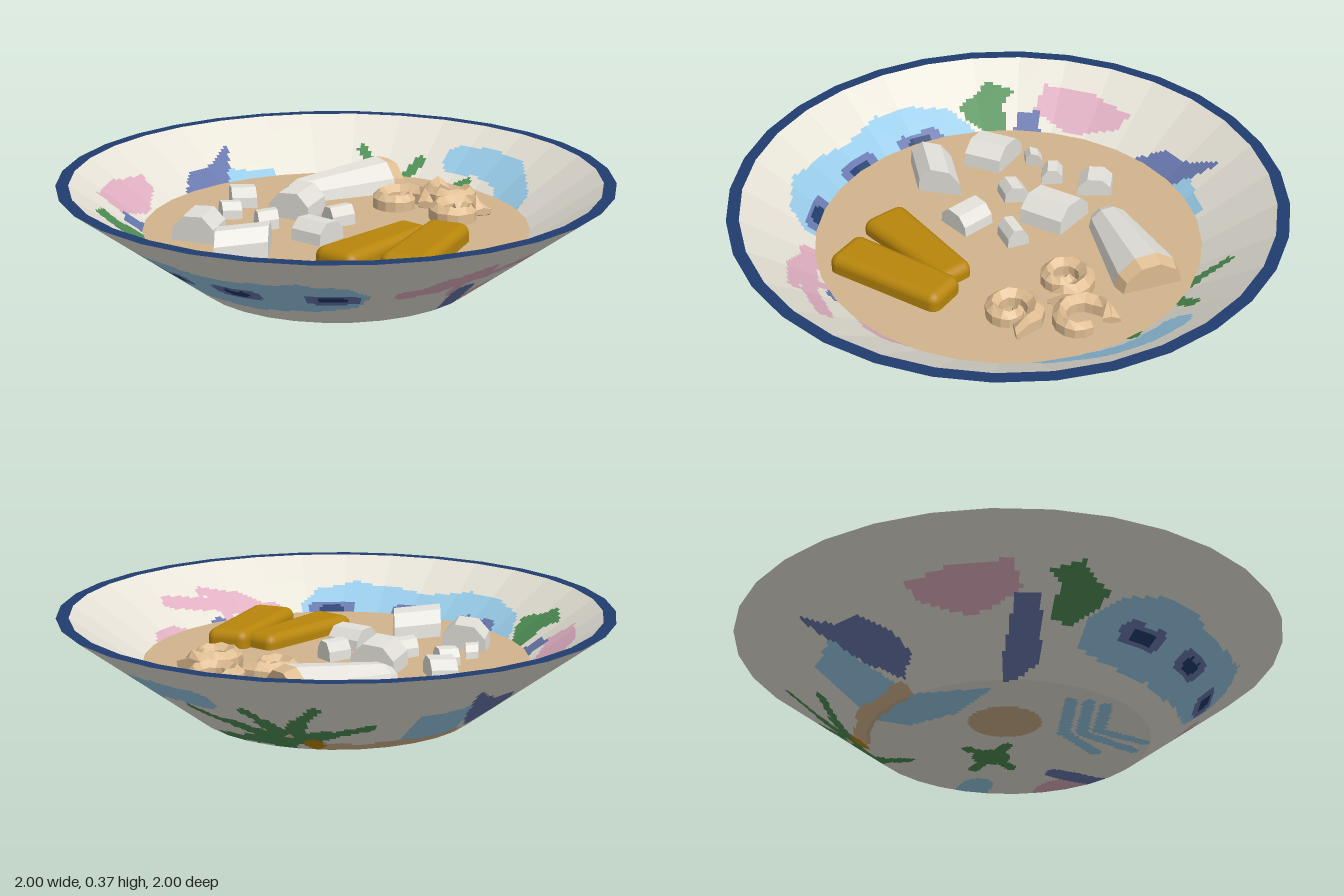
import * as THREE from 'three';
import { RoundedBoxGeometry } from 'three/addons/geometries/RoundedBoxGeometry.js';

const SIDES = 32, RIM_Y = 0.37, SOUP_Y = 0.19;

const mat = (name, color) => {
  const m = new THREE.MeshStandardMaterial({ color });
  m.name = name;
  return m;
};

const flat = (g) => {
  const f = g.index ? g.toNonIndexed() : g;
  f.computeVertexNormals();
  return f;
};

const fromPositions = (pos) => {
  const g = new THREE.BufferGeometry();
  g.setAttribute('position', new THREE.Float32BufferAttribute(pos, 3));
  g.computeVertexNormals();
  return g;
};

// Solid through rings of points (right-handed about the axis), capped at both ends
function loft(rings) {
  const pos = [], n = rings[0].length;
  const tri = (a, b, c) => pos.push(...a, ...b, ...c);
  for (let i = 0; i + 1 < rings.length; i++) {
    for (let j = 0; j < n; j++) {
      const k = (j + 1) % n, p = rings[i], q = rings[i + 1];
      tri(p[j], p[k], q[k]);
      tri(p[j], q[k], q[j]);
    }
  }
  const last = rings[rings.length - 1];
  for (let j = 1; j + 1 < n; j++) {
    tri(rings[0][0], rings[0][j + 1], rings[0][j]);
    tri(last[0], last[j], last[j + 1]);
  }
  return fromPositions(pos);
}

// Painted marks, drawn on the x-z plane and carried onto the bowl faces
const GLAZE = 0, BLUE = 1, SLATE = 2, NAVY = 3, PINK = 4, GREEN = 5, TAN = 6, GOLD = 7;
const marks = [];
const area = (color, ...p) => marks.push({
  color, hit: (x, z) => {
    let inside = false;
    for (let i = 0, j = p.length - 1; i < p.length; j = i++) {
      const [ax, az] = p[i], [bx, bz] = p[j];
      if ((az > z) !== (bz > z) && x < (bx - ax) * (z - az) / (bz - az) + ax) inside = !inside;
    }
    return inside;
  },
});
const stroke = (color, half, ...p) => marks.push({
  color, hit: (x, z) => p.some(([ax, az], i) => {
    const [bx, bz] = p[Math.min(i + 1, p.length - 1)];
    const dx = bx - ax, dz = bz - az;
    const t = Math.min(1, Math.max(0, ((x - ax) * dx + (z - az) * dz) / (dx * dx + dz * dz || 1)));
    return Math.hypot(x - ax - t * dx, z - az - t * dz) < half;
  }),
});

function paintMarks() {
  // front lagoon with three dark spots
  area(BLUE, [-0.37, 0.6], [-0.33, 0.72], [-0.2, 0.8], [-0.05, 0.83], [0.1, 0.79], [0.25, 0.77], [0.42, 0.72],
    [0.53, 0.6], [0.54, 0.49], [0.45, 0.46], [0.25, 0.55], [0, 0.59], [-0.2, 0.56], [-0.32, 0.53]);
  for (const [x, z] of [[-0.16, 0.68], [0.13, 0.69], [0.43, 0.56]]) {
    const l = Math.hypot(x, z), tx = z / l, tz = -x / l;
    stroke(SLATE, 0.035, [x - tx * 0.06, z - tz * 0.06], [x + tx * 0.06, z + tz * 0.06]);
    stroke(NAVY, 0.02, [x - tx * 0.03, z - tz * 0.03], [x + tx * 0.03, z + tz * 0.03]);
  }
  // pink sprig, flower and leaf on the walls
  stroke(PINK, 0.03, [0.82, 0.02], [0.75, 0.2], [0.6, 0.4]);
  stroke(PINK, 0.022, [0.81, 0.2], [0.72, 0.32], [0.6, 0.38]);
  stroke(PINK, 0.022, [0.74, 0.24], [0.64, 0.19]);
  stroke(PINK, 0.165, [0.56, -0.1]);
  area(PINK, [-0.8, 0.18], [-0.74, 0.18], [-0.62, 0.33], [-0.59, 0.5], [-0.68, 0.53], [-0.78, 0.35]);
  area(GREEN, [-0.58, 0.6], [-0.52, 0.6], [-0.46, 0.52], [-0.4, 0.55], [-0.37, 0.64], [-0.37, 0.7], [-0.47, 0.69], [-0.52, 0.7]);
  // small fish
  stroke(SLATE, 0.04, [0.66, 0.15], [0.5, 0.03], [0.35, -0.04]);
  area(SLATE, [-0.8, -0.3], [-0.68, -0.2], [-0.56, -0.02], [-0.62, 0.06], [-0.7, 0.04], [-0.77, -0.05], [-0.76, -0.15]);
  area(SLATE, [-0.6, 0.48], [-0.54, 0.54], [-0.38, 0.42], [-0.4, 0.28], [-0.48, 0.34]);
  // waves
  stroke(BLUE, 0.06, [-0.02, -0.8], [0.12, -0.8], [0.25, -0.75], [0.35, -0.62], [0.36, -0.5], [0.26, -0.34]);
  stroke(BLUE, 0.022, [0.3, 0.38], [0.12, 0.31], [-0.04, 0.45]);
  stroke(BLUE, 0.022, [0.34, 0.31], [0.1, 0.25], [-0.1, 0.42]);
  stroke(BLUE, 0.022, [0.27, 0.19], [0.06, 0.2], [-0.15, 0.38]);
  area(BLUE, [-0.39, 0.23], [-0.3, 0], [-0.32, -0.2], [-0.62, -0.38], [-0.72, -0.22], [-0.52, -0.03]);
  // island, palm and turtle
  stroke(TAN, 0.13, [-0.14, 0.09]);
  stroke(TAN, 0.03, [-0.27, -0.47], [-0.45, -0.28], [-0.53, -0.05]);
  for (const tip of [[-0.41, -0.69], [-0.17, -0.75], [0.08, -0.71], [0.1, -0.52], [-0.48, -0.47], [-0.08, -0.4]]) {
    const mid = [(tip[0] - 0.2) / 2, (tip[1] - 0.57) / 2];
    stroke(GREEN, 0.034, [-0.2, -0.54], mid);
    stroke(GREEN, 0.02, mid, tip);
  }
  stroke(GOLD, 0.035, [-0.26, -0.48]);
  stroke(GREEN, 0.07, [0.08, -0.14]);
  for (const [x, z] of [[0.2, -0.14], [0.13, -0.26], [-0.03, -0.16], [0.03, -0.03]]) stroke(GREEN, 0.022, [0.08, -0.14], [x, z]);
}

// Faceted cone band split into small faces, grouped by paint colour
function paintedBand(r0, y0, r1, y1, rows, inward) {
  const lists = Array.from({ length: 8 }, () => []), per = 10;
  const point = (i, t) => {
    const s = Math.floor(i / per), f = i / per - s, r = r0 + (r1 - r0) * t;
    const a = (s / SIDES) * 2 * Math.PI, b = ((s + 1) / SIDES) * 2 * Math.PI;
    return [r * (Math.sin(a) * (1 - f) + Math.sin(b) * f), y0 + (y1 - y0) * t, r * (Math.cos(a) * (1 - f) + Math.cos(b) * f)];
  };
  for (let i = 0; i < SIDES * per; i++) {
    for (let j = 0; j < rows; j++) {
      const [x, , z] = point(i + 0.5, (j + 0.5) / rows);
      let color = GLAZE;
      for (const m of marks) if (m.hit(x, z)) color = m.color;
      const a = point(i, j / rows), b = point(i + 1, j / rows);
      const c = point(i + 1, (j + 1) / rows), d = point(i, (j + 1) / rows);
      lists[color].push(...(inward ? [a, c, b, a, d, c] : [a, b, c, a, c, d]).flat());
    }
  }
  const g = fromPositions(lists.flat());
  let start = 0;
  lists.forEach((l, k) => {
    if (l.length) g.addGroup(start, l.length / 3, k);
    start += l.length / 3;
  });
  return g;
}

// Arched chunk: corner (x, z), axis u, width v, height h
function chunkGeometry([x, z, ux, uz, vx, vz, h]) {
  const arch = [[0, -0.3], [0.05, 0.5], [0.28, 0.95], [0.7, 1], [0.95, 0.55], [1, -0.3]];
  return loft([0, 1].map((k) => arch.map(([s, t]) => [x + ux * k + vx * s, SOUP_Y + h * t, z + uz * k + vz * s])));
}

// Curled shrimp: tapering tube on a spiral with a flat tail
function shrimpGeometry(start, turns) {
  const rings = [], steps = Math.round(turns * 14);
  for (let i = 0; i <= steps; i++) {
    const t = i / steps, a = start + t * turns * 2 * Math.PI, R = 0.105 - 0.062 * t * turns;
    const w = i === 0 ? 0.036 : i === 1 ? 0.02 : 0.036 - 0.014 * t;
    const h = i === 0 ? 0.015 : 0.05 - 0.015 * t + (i % 2) * 0.006;
    rings.push(Array.from({ length: 6 }, (_, j) => {
      const b = (j + 0.5) * Math.PI / 3, r = R - Math.cos(b) * w;
      return [Math.cos(a) * r, Math.sin(b) * h, -Math.sin(a) * r];
    }));
  }
  return loft(rings);
}

export function createModel() {
  const root = new THREE.Group();
  root.name = 'soupBowl';
  const glaze = mat('cream glaze', 0xf0ece0), navy = mat('navy', 0x203c6e), tan = mat('broth tan', 0xd2b48c);
  const gold = mat('golden', 0xb8860b), peach = mat('shrimp peach', 0xdfbd92), white = mat('vegetable white', 0xe2e0d9);
  const paint = [glaze, mat('sky blue', 0x98cbe8), mat('slate blue', 0x6878ae), navy,
    mat('pink', 0xdfafc1), mat('leaf green', 0x4f8f55), tan, gold];
  const add = (name, geo, material, parent = root) => {
    const m = new THREE.Mesh(geo, material);
    m.name = name;
    parent.add(m);
    return m;
  };

  // Bowl
  paintMarks();
  add('bowlOuterWall', paintedBand(0.51, 0, 1, RIM_Y, 40, false), paint);
  add('bowlBase', paintedBand(0, 0, 0.51, 0, 36, false), paint);
  add('bowlInnerWall', paintedBand(0.70, SOUP_Y, 0.955, RIM_Y, 24, true), paint);
  const rim = add('bowlRim', new THREE.RingGeometry(0.955, 1, SIDES), navy);
  rim.rotation.x = -Math.PI / 2;
  rim.position.y = RIM_Y;
  const broth = add('broth', new THREE.CircleGeometry(0.703, SIDES), tan);
  broth.rotation.x = -Math.PI / 2;
  broth.position.y = SOUP_Y;

  // Tapered white root with a tan cut end
  const rootVeg = new THREE.Group();
  rootVeg.name = 'rootVegetable';
  const lathe = (...p) => flat(new THREE.LatheGeometry(p.map(([x, y]) => new THREE.Vector2(x, y)), 10));
  add('rootBody', lathe([0, 0], [0.058, 0], [0.078, 0.035], [0.129, 0.39]), white, rootVeg);
  add('rootCutEnd', lathe([0.129, 0.39], [0.115, 0.44], [0, 0.44]), peach, rootVeg);
  rootVeg.position.set(-0.34, 0.185, -0.15);
  rootVeg.quaternion.setFromUnitVectors(new THREE.Vector3(0, 1, 0), new THREE.Vector3(0.165, -0.01, -0.4).normalize());
  root.add(rootVeg);

  // Golden fried sticks, a little wider at the front
  for (const [x, y, z, w, turn, taper] of [[0.293, 0.19, 0.15, 0.155, -0.05, 0.18], [0.462, 0.2, 0.083, 0.17, 0.25, 0.05]]) {
    const g = new RoundedBoxGeometry(w, 0.11, 0.46, 3, 0.035);
    const p = g.attributes.position;
    for (let i = 0; i < p.count; i++) p.setX(i, p.getX(i) * (1 + taper * p.getZ(i) / 0.23));
    const stick = add('friedStick', g, gold);
    stick.position.set(x, y, z);
    stick.rotation.y = turn;
  }

  // White chunks
  [[-0.53, -0.01, 0.07, -0.06, 0.1, 0.09, 0.07], [-0.27, 0.07, -0.05, -0.16, 0.18, -0.03, 0.1],
    [-0.06, 0.01, 0.03, -0.09, 0.08, 0.03, 0.07], [-0.43, 0.16, 0.05, -0.05, 0.07, 0.05, 0.06],
    [-0.24, 0.18, 0.03, -0.075, 0.08, 0.06, 0.065], [-0.015, 0.1, 0.13, 0, 0, 0.14, 0.075],
    [-0.43, 0.28, 0.03, -0.04, 0.04, 0.06, 0.05], [-0.35, 0.5, -0.06, -0.13, 0.17, -0.05, 0.095],
    [-0.145, 0.47, 0.1, -0.165, 0.1, 0.14, 0.1]].forEach((c) => add('vegetableChunk', chunkGeometry(c), white));

  // Shrimp
  for (const [x, z, start, turns] of [[0.15, -0.53, 2.4, 0.85], [0.04, -0.325, 0.4, 1.25], [0.3, -0.335, 1.0, 1.25]]) {
    add('shrimp', shrimpGeometry(start, turns), peach).position.set(x, 0.205, z);
  }
  return root;
}
